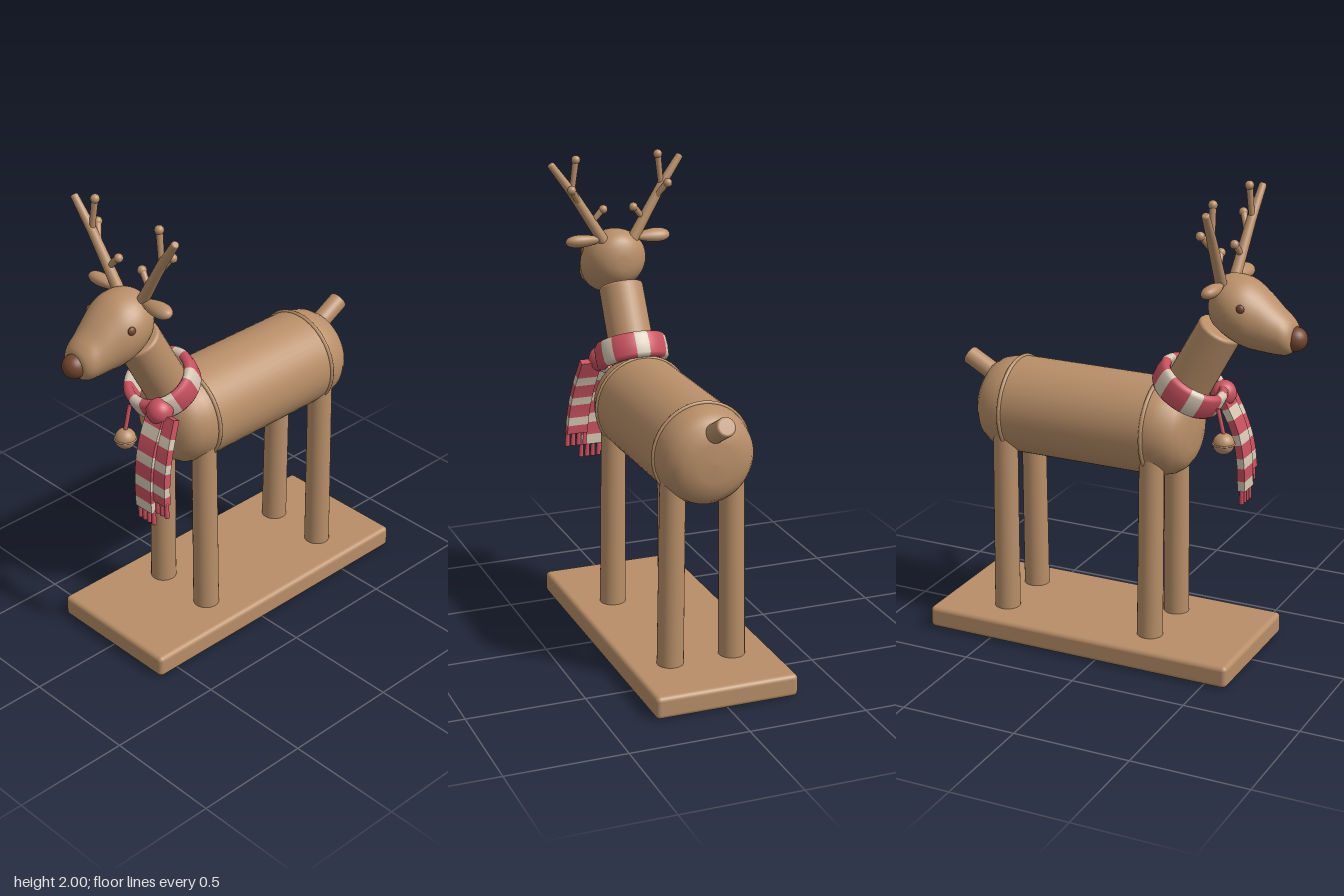
import * as THREE from 'three';
import { mergeVertices } from 'three/addons/utils/BufferGeometryUtils.js';
import { RoundedBoxGeometry } from 'three/addons/geometries/RoundedBoxGeometry.js';

const V = (x, y, z) => new THREE.Vector3(x, y, z);

export function createModel() {
  const model = new THREE.Group();
  model.name = 'woodenReindeer';

  const mat = (name, color) => {
    const m = new THREE.MeshStandardMaterial({ color });
    m.name = name;
    return m;
  };
  const wood = mat('wood', 0xb88e68);
  const darkWood = mat('dark wood', 0x74452f);
  const red = mat('scarf red', 0xc9515f);
  const cream = mat('scarf cream', 0xd6c8b4);

  const add = (name, geometry, material, parent = model) => {
    const m = new THREE.Mesh(geometry, material);
    m.name = name;
    parent.add(m);
    return m;
  };
  const group = (name, parent = model) => {
    const g = new THREE.Group();
    g.name = name;
    parent.add(g);
    return g;
  };
  const ball = (name, r, x, y, z, material, parent) => {
    const m = add(name, new THREE.SphereGeometry(r, 24, 16), material, parent);
    m.position.set(x, y, z);
    return m;
  };

  // Round rod between two points, with softened end edges
  const rod = (name, a, b, ra, rb, bevel, material, parent) => {
    const len = a.distanceTo(b);
    const pts = [new THREE.Vector2(0, 0)];
    for (let i = 0; i <= 4; i++) {
      const t = (i / 4) * Math.PI / 2;
      pts.push(new THREE.Vector2(ra - bevel + bevel * Math.sin(t), bevel - bevel * Math.cos(t)));
    }
    for (let i = 0; i <= 4; i++) {
      const t = (i / 4) * Math.PI / 2;
      pts.push(new THREE.Vector2(rb - bevel + bevel * Math.cos(t), len - bevel + bevel * Math.sin(t)));
    }
    pts.push(new THREE.Vector2(0, len));
    const m = add(name, new THREE.LatheGeometry(pts, 28), material, parent);
    m.position.copy(a);
    m.quaternion.setFromUnitVectors(V(0, 1, 0), b.clone().sub(a).normalize());
    return m;
  };

  // Base board
  add('base', new RoundedBoxGeometry(0.61, 0.095, 1.39, 4, 0.02), wood).position.set(0, 0.0475, -0.095);

  // Barrel body with rounded ends and two raised seams
  const bodyProfile = [
    [0, -0.645], [0.08, -0.642], [0.13, -0.63], [0.165, -0.605], [0.188, -0.57], [0.2, -0.525],
    [0.205, -0.48], [0.205, 0.16], [0.2, 0.205], [0.188, 0.25], [0.165, 0.285], [0.13, 0.31],
    [0.08, 0.322], [0, 0.325],
  ].map(([r, y]) => new THREE.Vector2(r, y));
  const body = add('body', new THREE.LatheGeometry(bodyProfile, 48), wood);
  body.position.y = 0.978;
  body.rotation.x = Math.PI / 2;
  for (const z of [-0.487, 0.165]) {
    add('bodySeam', new THREE.TorusGeometry(0.204, 0.009, 8, 48), wood).position.set(0, 0.978, z);
  }

  // Legs
  for (const s of [-1, 1]) {
    for (const [name, z] of [['frontLeg', 0.182], ['backLeg', -0.498]]) {
      rod(name, V(s * 0.135, 0.08, z), V(s * 0.126, 0.9, z), 0.055, 0.052, 0.012, wood);
    }
  }

  // Tail and neck
  rod('tail', V(0, 1.065, -0.56), V(0, 1.163, -0.738), 0.04, 0.04, 0.01, wood);
  rod('neck', V(0, 0.99, 0.185), V(0, 1.435, 0.428), 0.097, 0.094, 0.014, wood);

  // Head: oval sections [z, centre y, half height, half width]
  const sections = [
    [0.384, 1.53, 0.001, 0.001], [0.388, 1.535, 0.045, 0.04], [0.408, 1.542, 0.09, 0.085],
    [0.445, 1.542, 0.117, 0.12], [0.5, 1.53, 0.135, 0.139], [0.56, 1.511, 0.139, 0.135],
    [0.62, 1.486, 0.122, 0.114], [0.68, 1.456, 0.096, 0.095], [0.72, 1.441, 0.077, 0.083],
    [0.742, 1.436, 0.053, 0.06], [0.748, 1.435, 0.001, 0.001],
  ];
  const heights = new THREE.CatmullRomCurve3(sections.map(([z, c, h]) => V(h, c, z)));
  const widths = new THREE.CatmullRomCurve3(sections.map(([z, , , w]) => V(w, 0, z)));
  const rows = 41;
  const headGeo = new THREE.LatheGeometry(
    Array.from({ length: rows }, (_, i) => new THREE.Vector2(1, i)), 36);
  const hp = headGeo.attributes.position;
  for (let i = 0; i < hp.count; i++) {
    const t = (i % rows) / (rows - 1);
    const h = heights.getPoint(t), w = widths.getPoint(t);
    hp.setXYZ(i, hp.getX(i) * w.x, h.y - hp.getZ(i) * h.x, h.z);
  }
  headGeo.deleteAttribute('uv');
  headGeo.deleteAttribute('normal');
  const headSmooth = mergeVertices(headGeo, 1e-5);
  headSmooth.computeVertexNormals();
  add('head', headSmooth, wood);
  ball('nose', 0.05, 0, 1.43, 0.745, darkWood);

  // Eyes, ears and antlers, mirrored
  for (const s of [-1, 1]) {
    ball('eye', 0.018, s * 0.123, 1.56, 0.557, darkWood).scale.x = 0.7;

    const earGeo = new THREE.SphereGeometry(1, 24, 16);
    const ep = earGeo.attributes.position;
    for (let i = 0; i < ep.count; i++) {
      const x = ep.getX(i), f = 0.85 + 0.3 * x;
      ep.setXYZ(i, x * 0.085, ep.getY(i) * 0.03 * f, ep.getZ(i) * 0.04 * f);
    }
    earGeo.computeVertexNormals();
    const ear = add('ear', earGeo, wood);
    ear.position.set(s * 0.15, 1.633, 0.455);
    ear.rotation.set(0.4, s > 0 ? 0 : Math.PI, 0);
    if (s < 0) ear.rotation.x = -0.4;

    const antler = group(s > 0 ? 'leftAntler' : 'rightAntler');
    const branch = (name, a, b, ra, rb) =>
      rod(name, V(s * a[0], a[1], a[2]), V(s * b[0], b[1], b[2]), ra, rb, Math.min(ra, rb) * 0.5, wood, antler);
    branch('antlerBeam', [0.05, 1.6, 0.452], [0.205, 1.85, 0.468], 0.025, 0.02);
    branch('antlerTip', [0.195, 1.835, 0.467], [0.291, 1.968, 0.478], 0.02, 0.016);
    for (const [a, b] of [
      [[0.115, 1.71, 0.46], [0.068, 1.768, 0.45]],
      [[0.2, 1.845, 0.468], [0.183, 1.985, 0.462]],
      [[0.165, 1.785, 0.465], [0.215, 1.865, 0.425]],
    ]) {
      branch('tine', a, b, 0.012, 0.014);
      ball('tineKnob', 0.019, s * b[0], b[1] - 0.004, b[2], wood, antler);
    }
  }

  // Scarf loop: six cream and six red stripes around the neck
  const scarf = group('scarf');
  const loop = group('scarfLoop', scarf);
  loop.position.set(0, 1.172, 0.295);
  loop.rotation.x = 0.53;
  const bandProfile = [
    [0.112, -0.045], [0.125, -0.056], [0.144, -0.054], [0.154, -0.04], [0.157, 0],
    [0.154, 0.04], [0.144, 0.054], [0.125, 0.056], [0.112, 0.045], [0.112, -0.045],
  ].map(([r, y]) => new THREE.Vector2(r, y));
  const creamArc = THREE.MathUtils.degToRad(22), period = Math.PI / 3;
  for (let i = 0; i < 6; i++) {
    const start = i * period - creamArc / 2;
    add('scarfCreamStripe', new THREE.LatheGeometry(bandProfile, 6, start, creamArc), cream, loop);
    add('scarfRedStripe', new THREE.LatheGeometry(bandProfile, 10, start + creamArc, period - creamArc), red, loop);
  }
  ball('scarfKnot', 0.055, 0.1, 1.125, 0.4, red, scarf);

  // Hanging scarf ends: bent striped strips with fringes
  const tail = (name, points, width, stripes, firstCream) => {
    const g = group(name, scarf);
    const curve = new THREE.CatmullRomCurve3(points);
    const frame = (t) => {
      const d = curve.getTangent(t);
      return { p: curve.getPoint(t), n: V(0, -d.z, d.y).normalize().multiplyScalar(-1) };
    };
    let t0 = 0;
    stripes.forEach((len, k) => {
      const geo = new THREE.BoxGeometry(width, 1, 0.032, 1, 5, 1);
      const p = geo.attributes.position;
      for (let i = 0; i < p.count; i++) {
        const f = frame(t0 + (0.5 - p.getY(i)) * len);
        const v = f.p.clone().addScaledVector(f.n, p.getZ(i));
        p.setXYZ(i, v.x + p.getX(i), v.y, v.z);
      }
      geo.computeVertexNormals();
      add('scarfEndStripe', geo, (k % 2 === 0) === firstCream ? cream : red, g);
      t0 += len;
    });
    const end = curve.getPoint(1);
    for (let i = 0; i < 4; i++) {
      const x = end.x + (i - 1.5) * width * 0.28;
      rod('fringe', V(x, end.y + 0.01, end.z), V(x + 0.004, end.y - 0.06, end.z - 0.001), 0.009, 0.011, 0.005, red, g);
    }
  };
  tail('innerScarfEnd', [V(0.095, 1.12, 0.405), V(0.105, 0.98, 0.468), V(0.113, 0.85, 0.493), V(0.12, 0.715, 0.497)],
    0.095, [0.12, 0.11, 0.15, 0.11, 0.15, 0.11, 0.14, 0.11], false);
  tail('outerScarfEnd', [V(0.148, 1.12, 0.395), V(0.165, 1.0, 0.445), V(0.178, 0.89, 0.475), V(0.188, 0.775, 0.487)],
    0.092, [0.2, 0.11, 0.18, 0.11, 0.18, 0.11, 0.11], false);

  // Bell on a cord
  const bell = group('bell');
  rod('bellCord', V(-0.04, 1.105, 0.436), V(-0.04, 0.995, 0.463), 0.009, 0.009, 0.003, red, bell);
  ball('bellBall', 0.045, -0.04, 0.96, 0.463, wood, bell);
  const rim = add('bellRim', new THREE.TorusGeometry(0.045, 0.004, 8, 32), wood, bell);
  rim.position.set(-0.04, 0.96, 0.463);
  rim.rotation.x = Math.PI / 2;

  return model;
}
